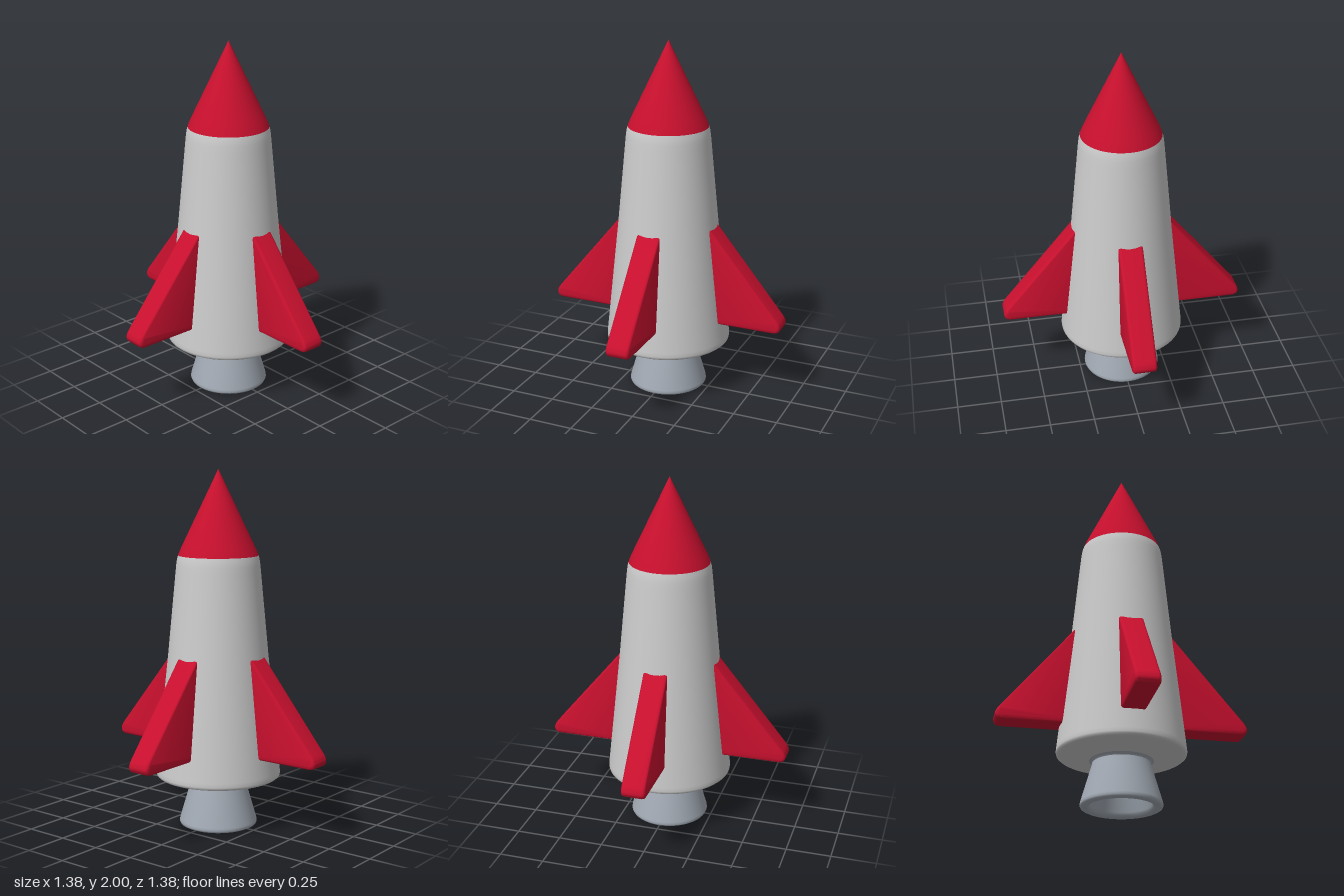
import * as THREE from 'three';
import { toCreasedNormals } from 'three/addons/utils/BufferGeometryUtils.js';

const red = new THREE.MeshStandardMaterial({ color: 0xc8102e });
const grey = new THREE.MeshStandardMaterial({ color: 0xcccccc });
const steel = new THREE.MeshStandardMaterial({ color: 0xa3abb5 });

// Turned part from [radius, height] pairs, listed bottom to top on the outside
function turned(name, profile, material) {
  const points = profile.map(([r, y]) => new THREE.Vector2(r, y));
  const geometry = toCreasedNormals(new THREE.LatheGeometry(points, 64), 0.7);
  const mesh = new THREE.Mesh(geometry, material);
  mesh.name = name;
  return mesh;
}

// Swept fin with softened edges, its root buried in the hull
function finGeometry() {
  const shape = new THREE.Shape();
  shape.moveTo(0.2, 0.43);
  shape.lineTo(0.648, 0.43);
  shape.quadraticCurveTo(0.685, 0.43, 0.688, 0.458);
  shape.quadraticCurveTo(0.69, 0.478, 0.668, 0.505);
  shape.lineTo(0.2, 1.07);
  shape.closePath();
  const thickness = 0.135, bevel = 0.018;
  const geometry = new THREE.ExtrudeGeometry(shape, {
    depth: thickness - 2 * bevel,
    bevelThickness: bevel,
    bevelSize: bevel,
    bevelOffset: -bevel,
    bevelSegments: 4,
    curveSegments: 6,
  });
  geometry.translate(0, 0, bevel - thickness / 2);
  return toCreasedNormals(geometry, 0.7);
}

export function createModel() {
  const rocket = new THREE.Group();
  rocket.name = 'rocket';

  // Nose cone
  rocket.add(turned('noseCone', [[0.222, 1.53], [0.212, 1.556], [0.2, 1.582], [0, 2]], red));

  // Tapered hull with a rounded lower edge and a shallow conical underside
  rocket.add(turned('hull', [
    [0, 0.25], [0.15, 0.252], [0.18, 0.258], [0.325, 0.281], [0.341, 0.285], [0.349, 0.292],
    [0.351, 0.303], [0.349, 0.325], [0.28, 0.98], [0.236, 1.44], [0.232, 1.48], [0.228, 1.508], [0.222, 1.53],
  ], grey));

  // Hollow flared nozzle
  rocket.add(turned('nozzle', [
    [0, 0.23], [0.11, 0.23], [0.163, 0.025], [0.168, 0.01], [0.18, 0.001], [0.19, 0], [0.206, 0],
    [0.216, 0.005], [0.22, 0.014], [0.218, 0.028], [0.16, 0.228], [0.157, 0.243], [0.163, 0.252], [0.185, 0.262],
  ], steel));

  // Four fins around the hull
  const fin = finGeometry();
  ['leftFin', 'backFin', 'rightFin', 'frontFin'].forEach((name, i) => {
    const mesh = new THREE.Mesh(fin, red);
    mesh.name = name;
    mesh.rotation.y = i * Math.PI / 2;
    rocket.add(mesh);
  });

  return rocket;
}
